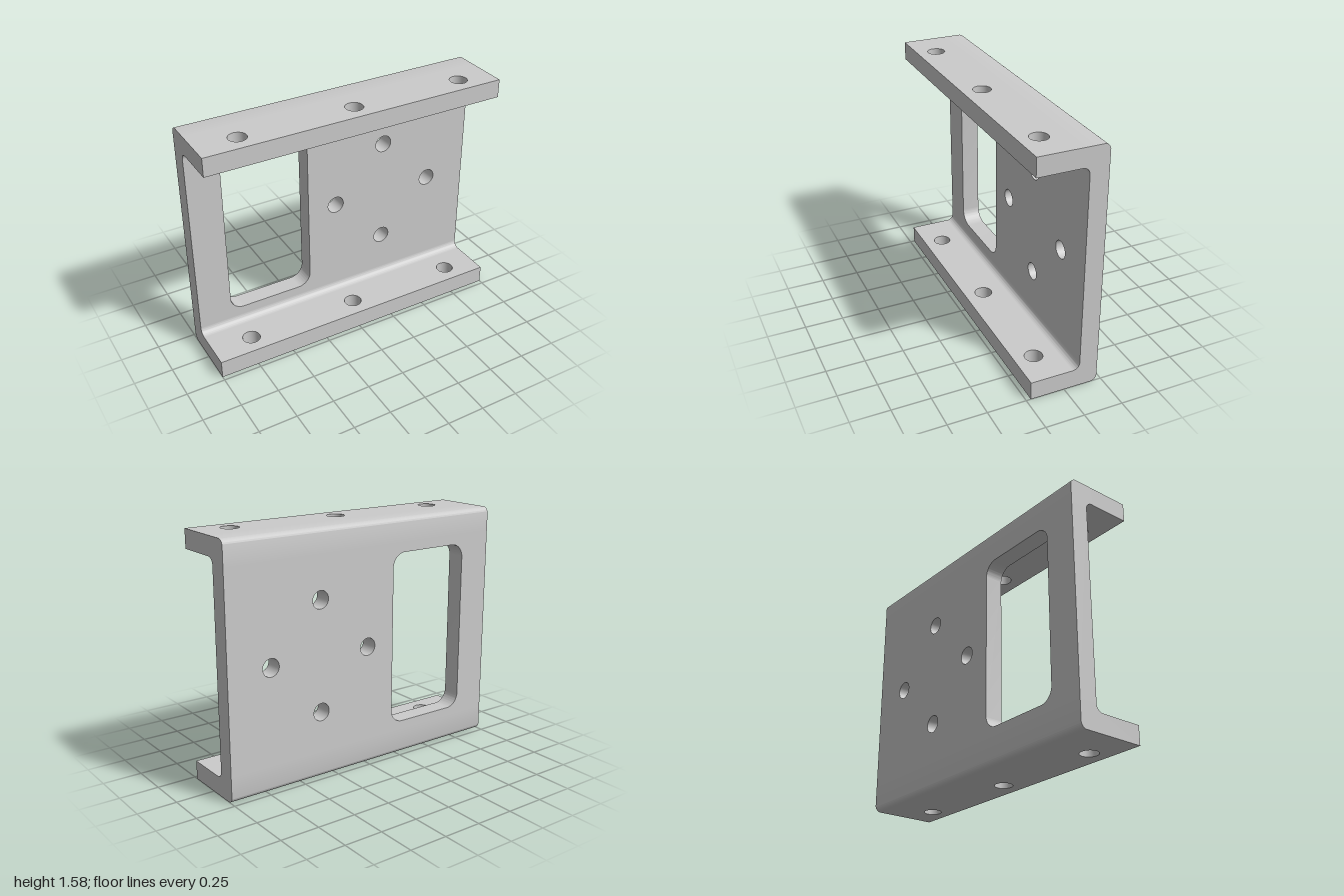
import * as THREE from 'three';
import { toCreasedNormals } from 'three/addons/utils/BufferGeometryUtils.js';

const W = 2, H = 1.575, D = 0.22;      // width, height, half depth
const T = 0.12;                        // plate thickness
const R_IN = 0.045, R_OUT = 0.04;      // bend radii
const HOLE = 0.057;                    // bolt hole radius

const material = new THREE.MeshStandardMaterial({ color: 0xcccccc });

function rectangle(x0, y0, x1, y1) {
  return new THREE.Shape([
    new THREE.Vector2(x0, y0), new THREE.Vector2(x1, y0),
    new THREE.Vector2(x1, y1), new THREE.Vector2(x0, y1),
  ]);
}

function roundHole(x, y) {
  return new THREE.Path().absarc(x, y, HOLE, 0, Math.PI * 2, true);
}

function roundedWindow(x0, y0, x1, y1, r) {
  return new THREE.Path()
    .absarc(x1 - r, y1 - r, r, 0, Math.PI / 2, false)
    .absarc(x0 + r, y1 - r, r, Math.PI / 2, Math.PI, false)
    .absarc(x0 + r, y0 + r, r, Math.PI, Math.PI * 1.5, false)
    .absarc(x1 - r, y0 + r, r, Math.PI * 1.5, Math.PI * 2, false)
    .closePath();
}

function extrude(shape, depth) {
  const geometry = new THREE.ExtrudeGeometry(shape, { depth, bevelEnabled: false, curveSegments: 16 });
  return toCreasedNormals(geometry, Math.PI / 5);
}

function addPart(group, name, geometry) {
  const mesh = new THREE.Mesh(geometry, material);
  mesh.name = name;
  group.add(mesh);
  return mesh;
}

export function createModel() {
  const model = new THREE.Group();
  model.name = 'channelBracket';

  // Upright back plate with a window and a diamond of bolt holes
  const web = rectangle(-W / 2, T + R_IN, W / 2, H - T - R_IN);
  web.holes.push(roundedWindow(-0.78, 0.225, -0.2, 1.355, 0.09));
  const cx = 0.355, cy = H / 2, spread = 0.355;
  for (const [dx, dy] of [[1, 0], [0, 1], [-1, 0], [0, -1]]) {
    web.holes.push(roundHole(cx + dx * spread, cy + dy * spread));
  }
  addPart(model, 'backPlate', extrude(web, T).translate(0, 0, -D));

  // Flanges, each with a row of three holes (shape y is -z)
  const bendFront = -D + T + R_IN;
  const flange = rectangle(-W / 2, -D, W / 2, -bendFront);
  for (const x of [-0.735, 0.02, 0.775]) flange.holes.push(roundHole(x, -0.093));
  const flangeGeometry = extrude(flange, T).rotateX(-Math.PI / 2);
  addPart(model, 'bottomFlange', flangeGeometry);
  addPart(model, 'topFlange', flangeGeometry).position.y = H - T;

  // Rounded bends joining flanges to the plate (shape x is -z)
  const bend = new THREE.Shape()
    .moveTo(-bendFront, 0)
    .lineTo(D - R_OUT, 0)
    .absarc(D - R_OUT, R_OUT, R_OUT, -Math.PI / 2, 0, false)
    .lineTo(D, T + R_IN)
    .lineTo(D - T, T + R_IN)
    .absarc(-bendFront, T + R_IN, R_IN, 0, -Math.PI / 2, true)
    .closePath();
  const bendGeometry = extrude(bend, W).translate(0, 0, -W / 2).rotateY(Math.PI / 2);
  addPart(model, 'bottomBend', bendGeometry);
  const topBend = addPart(model, 'topBend', bendGeometry);
  topBend.rotation.z = Math.PI;
  topBend.position.y = H;

  return model;
}
